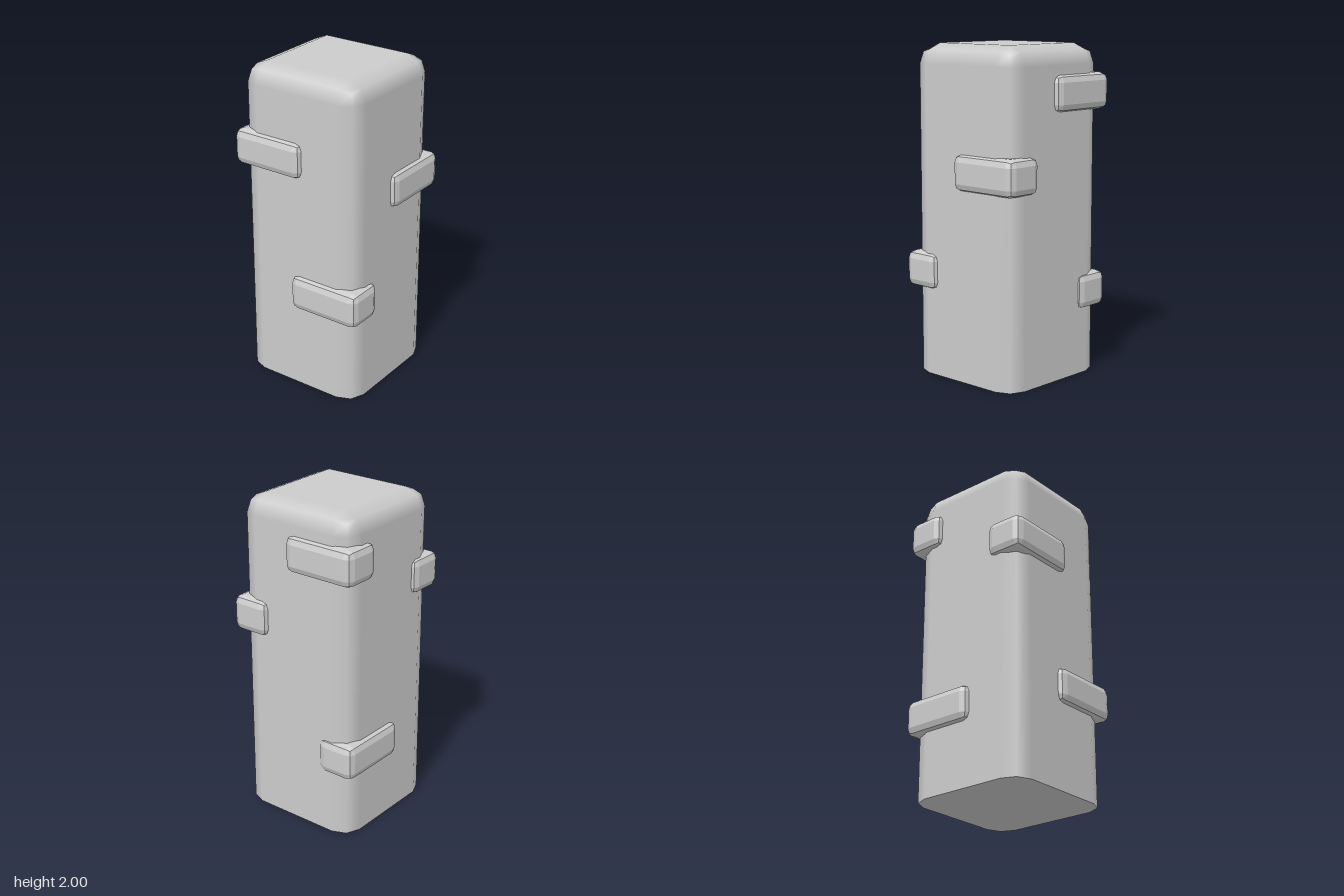
import * as THREE from 'three';
import { RoundedBoxGeometry } from 'three/addons/geometries/RoundedBoxGeometry.js';

// Square post: rounded sides and top, flat underside
function postGeometry() {
  const r = 0.12;
  const geo = new RoundedBoxGeometry(0.8, 2 + r, 0.8, 1, r);
  geo.translate(0, 1 - r / 2, 0);
  const pos = geo.attributes.position;
  const normal = geo.attributes.normal;
  for (let i = 0; i < pos.count; i++) {
    if (pos.getY(i) < 1e-4) pos.setY(i, 0);
  }
  for (let i = 0; i < pos.count; i += 3) {
    const corners = [i, i + 1, i + 2];
    if (corners.every((j) => pos.getY(j) === 0)) {
      corners.forEach((j) => normal.setXYZ(j, 0, -1, 0));
    }
  }
  return geo;
}

export function createModel() {
  const model = new THREE.Group();
  model.name = 'pillar';

  const post = new THREE.Mesh(
    postGeometry(),
    new THREE.MeshStandardMaterial({ color: 0xcccccc })
  );
  post.name = 'post';
  model.add(post);

  // Bevelled bricks set into the corners, standing slightly proud of two faces
  const long = 0.47, short = 0.247, height = 0.22;
  const brickMaterial = new THREE.MeshStandardMaterial({ color: 0xcccccc, flatShading: true });
  const bricks = [
    // name, width, depth, x, y, z
    ['frontRightBrick', long, short, -0.194, 1.488, 0.313],
    ['frontLeftBrick', long, short, 0.199, 0.641, 0.313],
    ['backLeftBrick', short, long, 0.312, 1.263, -0.201],
    ['backRightUpperBrick', long, short, -0.201, 1.717, -0.313],
    ['backRightLowerBrick', short, long, -0.313, 0.507, -0.186],
  ];
  for (const [name, width, depth, x, y, z] of bricks) {
    const brick = new THREE.Mesh(
      new RoundedBoxGeometry(width, height, depth, 1, 0.046),
      brickMaterial
    );
    brick.name = name;
    brick.position.set(x, y, z);
    model.add(brick);
  }
  return model;
}
